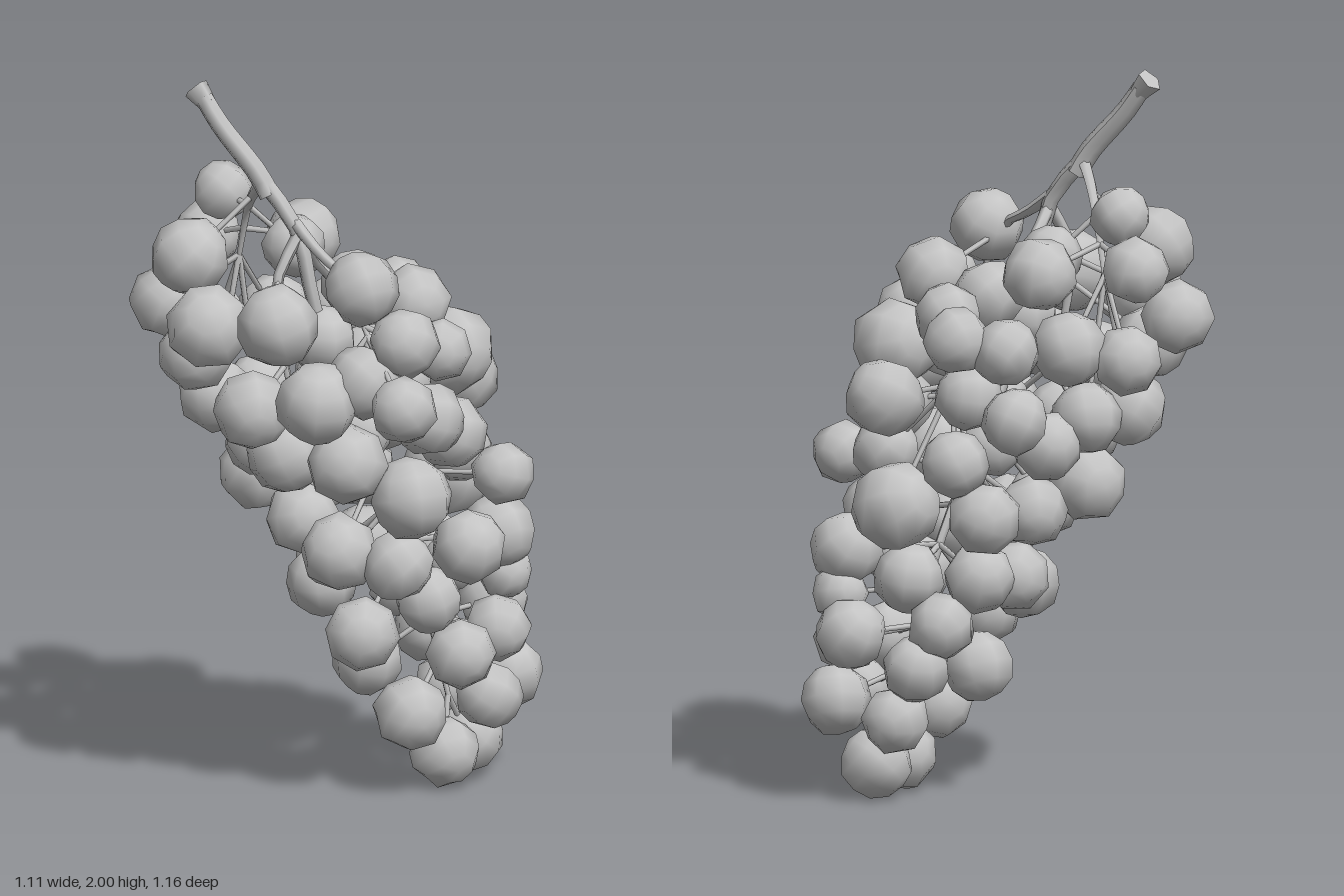
import * as THREE from 'three';

const grey = new THREE.MeshStandardMaterial({ color: 0xc4c4c4 });
grey.name = 'plainGrey';

const vec = (a) => new THREE.Vector3(a[0], a[1], a[2]);

// Grape centres and radii: x, y, z, r
const shoulderGrapes = [
  [-0.15, 1.63, -0.41, 0.08], [-0.14, 1.49, -0.495, 0.09], [-0.32, 1.34, -0.44, 0.1],
  [-0.37, 1.51, -0.27, 0.105], [-0.44, 1.36, -0.09, 0.115], [-0.35, 1.39, 0.11, 0.11],
  [-0.19, 1.51, 0.28, 0.1], [-0.11, 1.36, 0.37, 0.095], [0.06, 1.41, 0.18, 0.1],
  [0.08, 1.48, -0.35, 0.1], [-0.05, 1.5, -0.22, 0.085], [0.08, 1.39, -0.11, 0.095],
  [0.23, 1.35, -0.13, 0.09], [0.22, 1.24, 0.13, 0.12], [0.35, 1.12, 0, 0.105],
  [-0.2, 1.21, 0.485, 0.09], [-0.33, 1.2, 0.26, 0.11], [-0.4, 1.15, 0.06, 0.105],
  [-0.05, 1.14, 0.39, 0.1], [-0.13, 1.24, -0.47, 0.095], [0.27, 1.3, -0.23, 0.09],
  [0.17, 1.27, -0.32, 0.09], [-0.37, 1.24, -0.24, 0.1], [-0.13, 1.3, 0.02, 0.09],
  [-0.2, 1.25, 0.3, 0.1], [-0.02, 1.2, 0.22, 0.09], [0.05, 1.2, -0.02, 0.1],
  [0, 1.27, -0.38, 0.1], [0.06, 1.3, 0.3, 0.085],
];
const middleGrapes = [
  [0.2, 1.13, -0.19, 0.09], [0.04, 1.0, -0.33, 0.095], [-0.08, 1.07, -0.35, 0.095],
  [0.12, 1.05, 0.27, 0.1], [-0.22, 1.01, 0.25, 0.11], [-0.05, 0.9, 0.32, 0.11],
  [0.26, 0.95, 0.12, 0.09], [0.27, 0.92, 0.31, 0.085], [0.37, 0.83, -0.08, 0.12],
  [0.13, 0.74, 0.34, 0.1], [-0.17, 0.73, 0.15, 0.105], [-0.06, 0.7, 0.27, 0.095],
  [0.4, 0.69, 0.11, 0.1], [0.31, 0.62, -0.06, 0.095], [0.22, 0.81, -0.29, 0.1],
  [0.04, 0.81, -0.26, 0.095], [0.18, 0.63, -0.21, 0.095], [-0.27, 1.0, 0.04, 0.105],
  [-0.23, 1.08, -0.34, 0.1], [-0.15, 0.87, -0.25, 0.105], [-0.17, 0.79, -0.02, 0.1],
  [0.16, 1.08, -0.35, 0.09], [0.29, 0.96, -0.25, 0.09], [-0.23, 1.0, -0.13, 0.1],
  [-0.08, 1.05, 0.1, 0.1], [0.08, 0.98, -0.12, 0.09], [0.2, 0.65, 0.17, 0.08],
  [0.05, 0.62, -0.19, 0.095], [-0.06, 0.58, -0.08, 0.095],
];
const tailGrapes = [
  [0.06, 0.58, 0.25, 0.09], [-0.08, 0.48, 0.13, 0.1], [0.17, 0.41, 0.25, 0.095],
  [0.45, 0.47, 0.02, 0.095], [0.45, 0.28, 0.09, 0.095], [0.28, 0.27, 0.23, 0.09],
  [0.08, 0.23, 0.14, 0.1], [0.21, 0.1, 0.12, 0.095], [0.35, 0.1, 0.04, 0.095],
  [0.28, 0.5, -0.17, 0.09], [0.06, 0.35, -0.03, 0.095], [0.33, 0.38, -0.12, 0.09],
  [0.35, 0.23, -0.05, 0.09], [0.37, 0.43, 0.15, 0.09], [0.43, 0.57, 0.1, 0.075],
];

// Tube along a few points, changing width towards its end
function taperedTube(points, r0, r1, segments) {
  const sides = 6;
  const curve = new THREE.CatmullRomCurve3(points.map(vec));
  const geometry = new THREE.TubeGeometry(curve, segments, r0, sides);
  const pos = geometry.attributes.position;
  const p = new THREE.Vector3();
  for (let i = 0; i < pos.count; i++) {
    const t = Math.floor(i / (sides + 1)) / segments;
    const centre = curve.getPointAt(t);
    p.fromBufferAttribute(pos, i).sub(centre).multiplyScalar(1 + (r1 / r0 - 1) * t).add(centre);
    pos.setXYZ(i, p.x, p.y, p.z);
  }
  geometry.computeVertexNormals();
  return geometry;
}

// Coarse, slightly lumpy ball with smooth shading
function lumpyBall() {
  const geometry = new THREE.SphereGeometry(1, 8, 6);
  const pos = geometry.attributes.position;
  const p = new THREE.Vector3();
  for (let i = 0; i < pos.count; i++) {
    p.fromBufferAttribute(pos, i);
    p.multiplyScalar(1.04 + 0.05 * Math.sin(4 * p.x + 2 * p.y) * Math.cos(3 * p.z - 2 * p.y));
    pos.setXYZ(i, p.x, p.y, p.z);
  }
  return geometry;
}

export function createModel() {
  const model = new THREE.Group();
  model.name = 'grapeBunch';
  const add = (parent, geometry, name) => {
    const mesh = new THREE.Mesh(geometry, grey);
    mesh.name = name;
    parent.add(mesh);
    return mesh;
  };
  const rod = (parent, a, b, ra, rb, name) => {
    const dir = b.clone().sub(a);
    const mesh = add(parent, new THREE.CylinderGeometry(rb, ra, dir.length(), 5), name);
    mesh.position.copy(a).add(b).multiplyScalar(0.5);
    mesh.quaternion.setFromUnitVectors(new THREE.Vector3(0, 1, 0), dir.normalize());
  };

  // Woody stalk with its cut, flared end
  const stalk = new THREE.Group();
  stalk.name = 'stalk';
  model.add(stalk);
  add(stalk, taperedTube([[-0.32, 1.95, -0.27], [-0.3, 1.88, -0.22], [-0.25, 1.76, -0.12], [-0.23, 1.7, -0.09]], 0.027, 0.031, 8), 'mainStalk');
  rod(stalk, new THREE.Vector3(-0.315, 1.935, -0.26), new THREE.Vector3(-0.33, 1.975, -0.295), 0.026, 0.038, 'cutEnd');

  // Central stem running down the bunch, and side branches at the fork
  const stemPoints = [[-0.24, 1.74, -0.11], [-0.2, 1.62, -0.01], [-0.16, 1.4, 0.02], [-0.03, 1.05, 0.02], [0.12, 0.75, 0.03], [0.2, 0.5, 0.05], [0.26, 0.24, 0.07]];
  add(stalk, taperedTube(stemPoints, 0.024, 0.008, 20), 'centralStem');
  const branches = [
    [[-0.24, 1.73, -0.11], [-0.2, 1.68, -0.2], [-0.15, 1.6, -0.3], [-0.14, 1.46, -0.35]],
    [[-0.2, 1.63, -0.01], [-0.2, 1.57, 0.1], [-0.19, 1.52, 0.2], [-0.17, 1.37, 0.28]],
    [[-0.2, 1.6, 0], [-0.1, 1.5, -0.05], [0.04, 1.34, -0.03], [0.18, 1.15, -0.08]],
    [[-0.2, 1.6, 0], [-0.27, 1.48, 0], [-0.27, 1.3, 0.02], [-0.25, 1.15, 0.05]],
  ];
  branches.forEach((b) => add(stalk, taperedTube(b, 0.018, 0.008, 8), 'sideBranch'));

  // Points along the stems where pedicels can start
  const nodes = [];
  [stemPoints, ...branches].forEach((pts) => {
    nodes.push(...new THREE.CatmullRomCurve3(pts.map(vec)).getSpacedPoints(14));
  });

  // Low-poly grapes, each turned differently and hung on a pedicel
  const grapeGeometry = lumpyBall();
  const clusters = { shoulderGrapes, middleGrapes, tailGrapes };
  let turn = 1;
  for (const [name, list] of Object.entries(clusters)) {
    const cluster = new THREE.Group();
    cluster.name = name;
    model.add(cluster);
    for (const [x, y, z, r] of list) {
      const grape = add(cluster, grapeGeometry, 'grape');
      grape.position.set(x, y, z);
      grape.scale.setScalar(r);
      grape.rotation.set(turn * 1.7, turn * 2.3, turn * 0.9);
      turn++;
      const target = new THREE.Vector3(x, y + 0.1, z);
      const start = nodes.reduce((a, b) => (b.distanceTo(target) < a.distanceTo(target) ? b : a));
      rod(cluster, start, grape.position, 0.009, 0.007, 'pedicel');
    }
  }
  return model;
}
